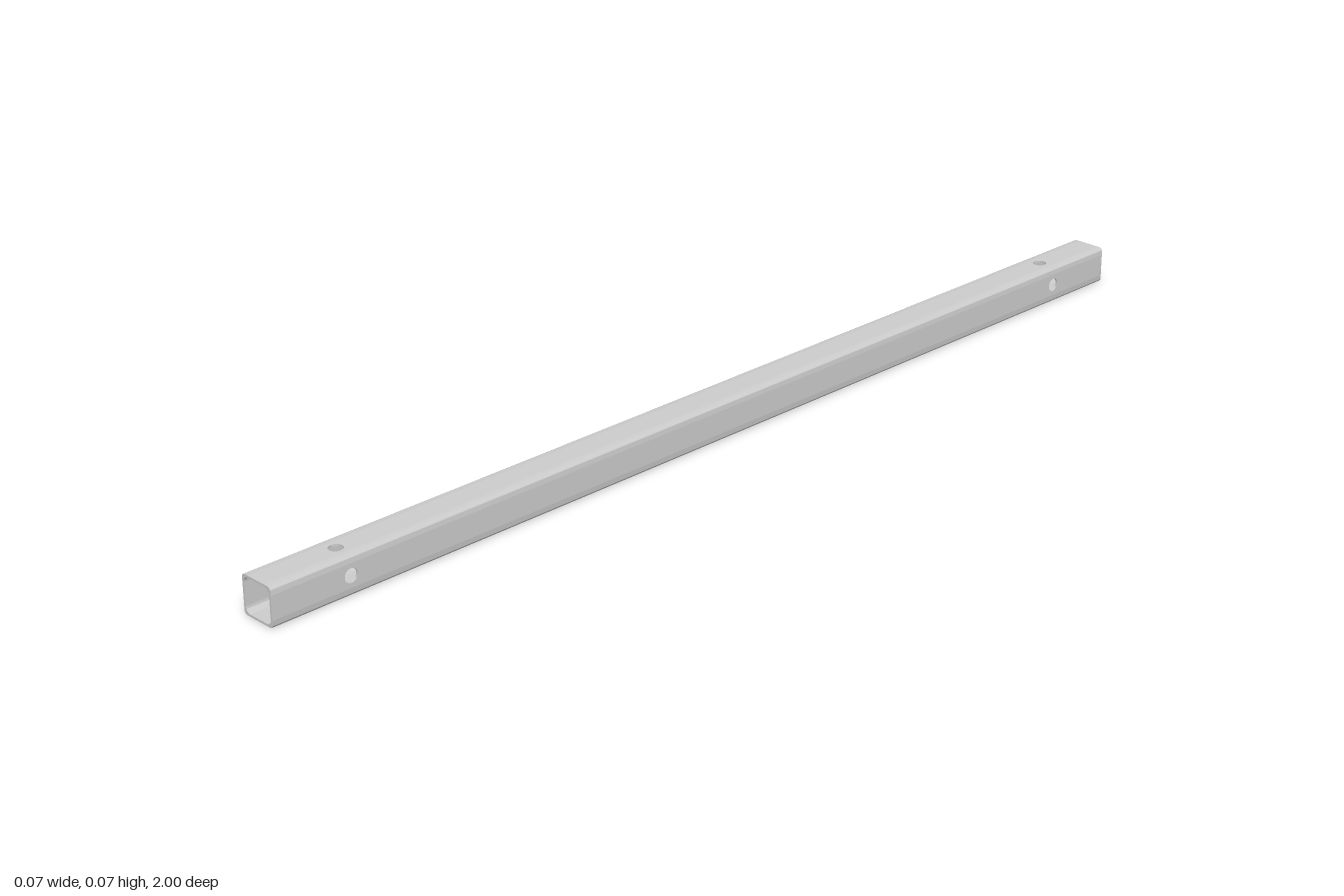
import * as THREE from 'three';
import { toCreasedNormals } from 'three/addons/utils/BufferGeometryUtils.js';

const half = 0.035;       // half the tube width
const wall = 0.004;       // wall thickness
const outerR = 0.007;     // outer corner radius
const innerR = 0.010;     // inner corner radius
const corner = wall + innerR;
const front = 1, back = -1 + wall;
const holeZ = 0.85, holeR = 0.0125;

const material = new THREE.MeshStandardMaterial({ color: 0xcccccc });

function extrude(shape, depth) {
  const geometry = new THREE.ExtrudeGeometry(shape, { depth, bevelEnabled: false, curveSegments: 12 });
  return toCreasedNormals(geometry, 0.7);
}

function part(name, geometry) {
  const mesh = new THREE.Mesh(geometry, material);
  mesh.name = name;
  return mesh;
}

// Flat wall with a bolt hole near each end
function wallGeometry() {
  const w = half - corner;
  const s = new THREE.Shape();
  s.moveTo(-w, -front).lineTo(w, -front).lineTo(w, -back).lineTo(-w, -back).closePath();
  for (const z of [-holeZ, holeZ]) {
    s.holes.push(new THREE.Path().absarc(0, z, holeR, 0, Math.PI * 2, true));
  }
  return extrude(s, wall).rotateX(-Math.PI / 2).translate(0, half - wall, 0);
}

// Rounded corner strip running the length of the tube
function cornerGeometry() {
  const c = half - corner, o = half - outerR;
  const s = new THREE.Shape();
  s.moveTo(c, half).lineTo(o, half);
  s.absarc(o, o, outerR, Math.PI / 2, 0, true);
  s.lineTo(half, c).lineTo(half - wall, c);
  s.absarc(c, c, innerR, 0, Math.PI / 2, false);
  s.closePath();
  return extrude(s, front - back).translate(0, 0, back);
}

// Plate closing the back end
function capGeometry() {
  const o = half - outerR;
  const s = new THREE.Shape();
  s.absarc(o, o, outerR, 0, Math.PI / 2, false);
  s.absarc(-o, o, outerR, Math.PI / 2, Math.PI, false);
  s.absarc(-o, -o, outerR, Math.PI, Math.PI * 1.5, false);
  s.absarc(o, -o, outerR, Math.PI * 1.5, Math.PI * 2, false);
  return extrude(s, wall).translate(0, half, -1);
}

export function createModel() {
  const model = new THREE.Group();
  model.name = 'squareTube';
  const side = wallGeometry(), edge = cornerGeometry();

  // Four walls and four corners around the axis
  for (let i = 0; i < 4; i++) {
    const g = new THREE.Group();
    g.name = 'tubeSide' + (i + 1);
    g.add(part('wall', side), part('corner', edge));
    g.rotation.z = i * Math.PI / 2;
    g.position.y = half;
    model.add(g);
  }
  model.add(part('backCap', capGeometry()));
  return model;
}
